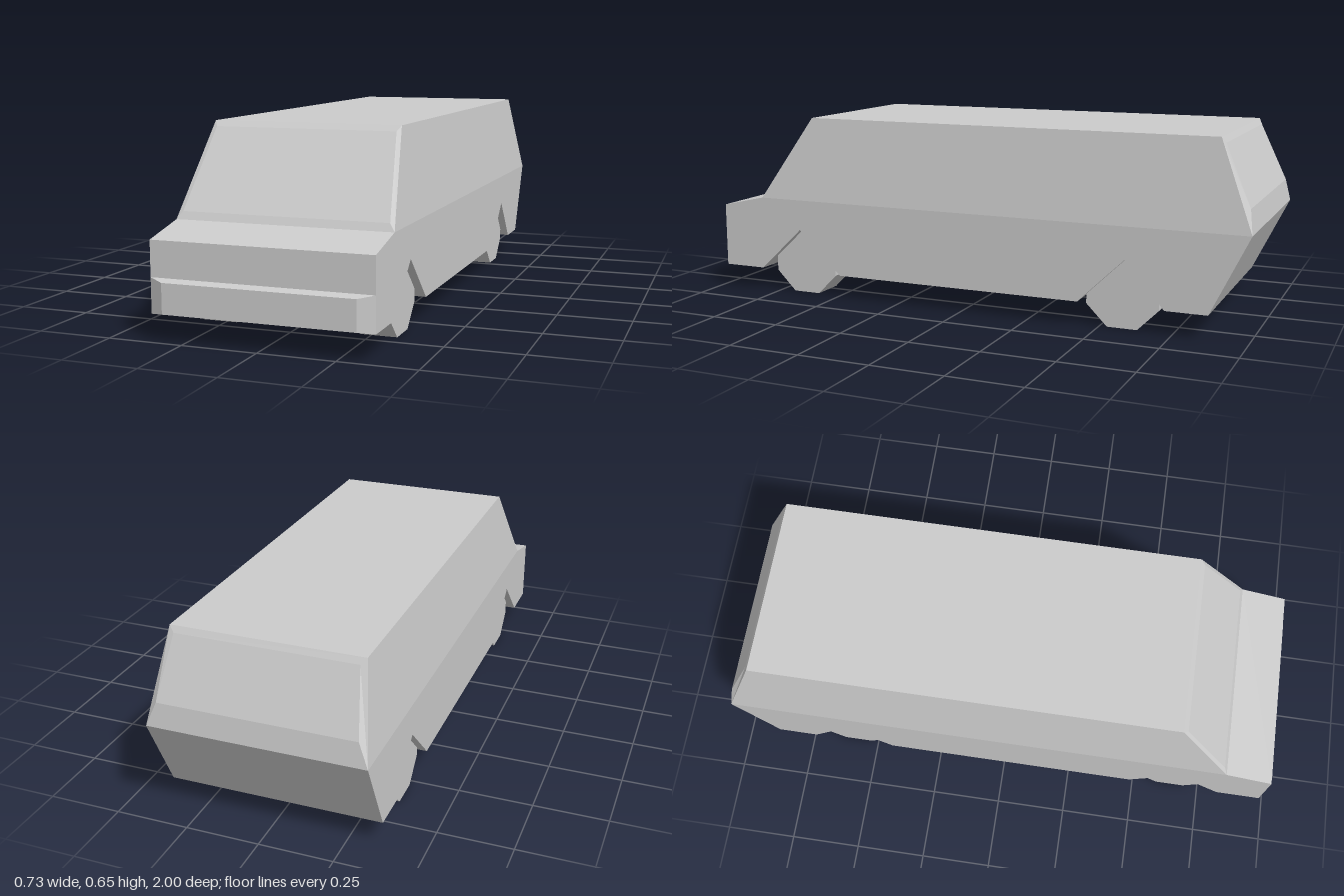
import * as THREE from 'three';

const shellMaterial = new THREE.MeshStandardMaterial({ color: 0xcccccc, flatShading: true, side: THREE.DoubleSide });
const wheelMaterial = new THREE.MeshStandardMaterial({ color: 0xcccccc, flatShading: true });

const WIDE = 0.363, ROOF_WIDE = 0.32;
const SILL = 0.083, BELT = 0.35, ROOF = 0.65;
const AXLES = [
  { name: 'front', wheelZ: 0.643, archFront: 0.815, apex: 0.648, archRear: 0.482 },
  { name: 'rear', wheelZ: -0.578, archFront: -0.43, apex: -0.592, archRear: -0.727 },
];
const APEX_Y = 0.24, ARCH_INNER = 0.19;

// Thin panels from convex polygons, corners counter-clockwise from outside
function panels(name, polygons) {
  const positions = [];
  for (const p of polygons) {
    for (let i = 1; i < p.length - 1; i++) positions.push(...p[0], ...p[i], ...p[i + 1]);
  }
  const geometry = new THREE.BufferGeometry();
  geometry.setAttribute('position', new THREE.Float32BufferAttribute(positions, 3));
  geometry.computeVertexNormals();
  const mesh = new THREE.Mesh(geometry, shellMaterial);
  mesh.name = name;
  return mesh;
}

// Panel across the body between two [halfWidth, y, z] lines
function across(a, b) {
  return [[-a[0], a[1], a[2]], [a[0], a[1], a[2]], [b[0], b[1], b[2]], [-b[0], b[1], b[2]]];
}

// Four strips joining an outer four-sided ring to an inner one
function ring(outer, inner) {
  return outer.map((p, i) => {
    const j = (i + 1) % 4;
    return [p, outer[j], inner[j], inner[i]];
  });
}

// A raised pane with its surround
function raised(outer, inner) {
  return [inner, ...ring(outer, inner)];
}

function sideWall(side) {
  const group = new THREE.Group();
  group.name = side > 0 ? 'leftSide' : 'rightSide';

  // Lower side with triangular wheel arches, drawn in (z, y)
  const outline = [[0.975, SILL], [0.975, 0.313], [0.808, BELT], [-1, BELT], [-0.87, SILL]];
  for (const a of [...AXLES].reverse()) {
    outline.push([a.archRear, SILL], [a.apex, APEX_Y], [a.archFront, SILL]);
  }
  const shape = new THREE.Shape(outline.map(([z, y]) => new THREE.Vector2(-z, y)));
  const geometry = new THREE.ShapeGeometry(shape);
  geometry.rotateY(Math.PI / 2);
  if (side < 0) geometry.rotateY(Math.PI).scale(1, 1, -1);
  geometry.translate(side * WIDE, 0, 0);
  const lower = new THREE.Mesh(geometry, shellMaterial);
  lower.name = 'lowerSide';
  group.add(lower);

  // Upper side leaning in to the roof
  const upper = [
    [side * WIDE, BELT, 0.808], [side * WIDE, BELT, -1],
    [side * ROOF_WIDE, ROOF, -0.885], [side * ROOF_WIDE, ROOF, 0.61],
  ];
  group.add(panels('upperSide', [side > 0 ? upper : upper.reverse()]));

  // Arch liners with a closed inner end
  for (const a of AXLES) {
    const section = [[SILL, a.archFront], [APEX_Y, a.apex], [SILL, a.archRear]];
    const out = section.map(([y, z]) => [side * WIDE, y, z]);
    const inn = section.map(([y, z]) => [side * ARCH_INNER, y, z]);
    group.add(panels(a.name + 'WheelArch', [
      [out[0], out[1], inn[1], inn[0]],
      [out[1], out[2], inn[2], inn[1]],
      inn,
    ]));
  }
  return group;
}

function wheel(name, x, z) {
  const geometry = new THREE.CylinderGeometry(0.1353, 0.1353, 0.12, 8, 1, false, Math.PI / 8);
  geometry.rotateZ(Math.PI / 2);
  const mesh = new THREE.Mesh(geometry, wheelMaterial);
  mesh.name = name;
  mesh.position.set(x, 0.125, z);
  return mesh;
}

export function createModel() {
  const model = new THREE.Group();
  model.name = 'van';

  // Panels spanning the width
  model.add(
    panels('nose', [across([WIDE, 0.197, 0.975], [WIDE, 0.313, 0.975])]),
    panels('hood', [across([WIDE, 0.313, 0.975], [WIDE, BELT, 0.808])]),
    panels('roof', [across([ROOF_WIDE, ROOF, 0.61], [ROOF_WIDE, ROOF, -0.885])]),
    panels('lowerTailgate', [across([WIDE, BELT, -1], [WIDE, SILL, -0.87])]),
  );

  // Slightly raised windscreen and rear window
  model.add(panels('windscreen', raised(
    across([WIDE, BELT, 0.808], [ROOF_WIDE, ROOF, 0.61]),
    across([0.345, 0.375, 0.796], [0.308, 0.632, 0.626]),
  )));
  model.add(panels('rearWindow', raised(
    across([ROOF_WIDE, ROOF, -0.885], [WIDE, BELT, -1]),
    across([0.302, 0.63, -0.897], [0.33, 0.43, -0.986]),
  )));

  // Hollow front bumper with chamfered edges
  model.add(panels('frontBumper', raised(
    across([WIDE, SILL, 0.975], [WIDE, 0.197, 0.975]),
    across([0.313, 0.09, 1], [0.313, 0.188, 1]),
  )));

  // Sides and wheels
  for (const side of [1, -1]) {
    model.add(sideWall(side));
    for (const a of AXLES) {
      model.add(wheel(a.name + (side > 0 ? 'LeftWheel' : 'RightWheel'), side * 0.275, a.wheelZ));
    }
  }
  return model;
}
